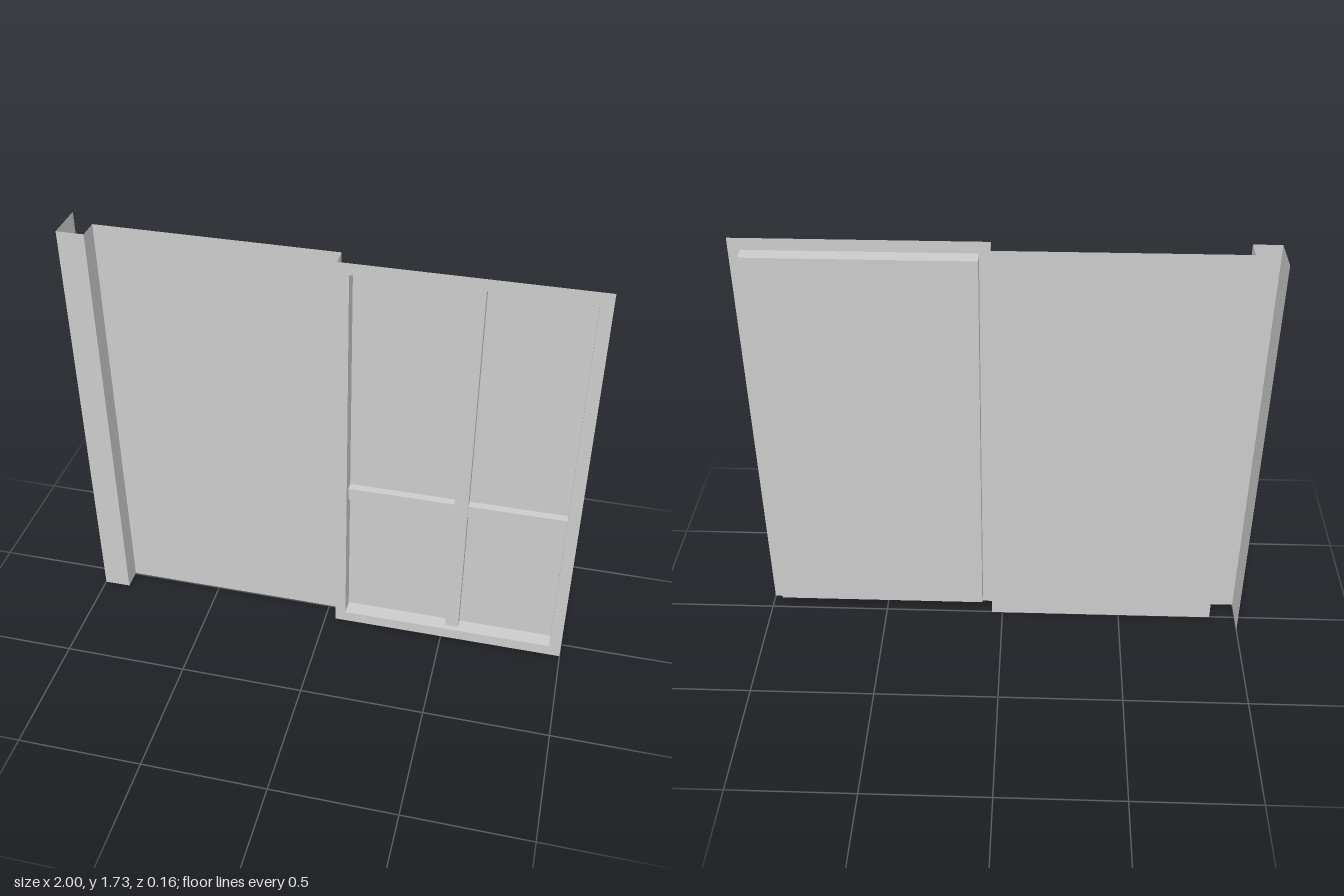
import * as THREE from 'three';

const H = 1.727;                        // wall height
const FRONT = 0.068, BACK = -0.003;     // window frame plane, wall plane
const PANE = 0.005;                     // recessed window pane plane
const X0 = 0.087, X1 = 0.953, Y0 = 0.048, Y1 = 1.68; // window opening

const material = new THREE.MeshStandardMaterial({
  color: 0xcccccc, flatShading: true, side: THREE.DoubleSide,
});

function add(group, name, geometry, x = 0, y = 0, z = 0) {
  const mesh = new THREE.Mesh(geometry, material);
  mesh.name = name;
  mesh.position.set(x, y, z);
  group.add(mesh);
  return mesh;
}

// Sheet swept from a path of [a, b] points; place(a, b, t) maps to space, t = 0 or 1
function foldedSheet(path, place) {
  const positions = [];
  for (let i = 0; i < path.length - 1; i++) {
    const [p, q] = [path[i], path[i + 1]];
    const a = place(...p, 0), b = place(...q, 0), c = place(...q, 1), d = place(...p, 1);
    positions.push(...a, ...b, ...c, ...a, ...c, ...d);
  }
  const geometry = new THREE.BufferGeometry();
  geometry.setAttribute('position', new THREE.Float32BufferAttribute(positions, 3));
  geometry.computeVertexNormals();
  return geometry;
}

// Solid bar given by its front-view rectangle, standing on the pane
function addBar(group, name, x0, x1, y0, y1, front) {
  const back = PANE + 0.0005;
  add(group, name, new THREE.BoxGeometry(x1 - x0, y1 - y0, front - back),
    (x0 + x1) / 2, (y0 + y1) / 2, (front + back) / 2);
}

export function createModel() {
  const model = new THREE.Group();
  model.name = 'wallWithWindow';

  // Folded wall: post side, post front, return, flat panel, step out to the frame
  const plan = [[-1, -0.08], [-1, 0.08], [-0.892, 0.08], [-0.892, BACK], [0.044, BACK], [0.044, FRONT]];
  add(model, 'foldedWall', foldedSheet(plan, (x, z, t) => [x, t * H, z]));

  // Flat frame face with the window opening cut out
  const frame = new THREE.Shape();
  frame.moveTo(0.044, 0).lineTo(1, 0).lineTo(1, H).lineTo(0.044, H).closePath();
  const opening = new THREE.Path();
  opening.moveTo(X0, Y0).lineTo(X0, Y1).lineTo(X1, Y1).lineTo(X1, Y0).closePath();
  frame.holes.push(opening);
  const win = new THREE.Group();
  win.name = 'window';
  model.add(win);
  add(win, 'windowFrame', new THREE.ShapeGeometry(frame), 0, 0, FRONT);

  // Reveal around the opening and the pane closing it
  const rim = [[X0, Y0], [X1, Y0], [X1, Y1], [X0, Y1], [X0, Y0]];
  add(win, 'windowReveal', foldedSheet(rim, (x, y, t) => [x, y, t ? PANE : FRONT]));
  add(win, 'windowPane', new THREE.PlaneGeometry(X1 - X0, Y1 - Y0), (X0 + X1) / 2, (Y0 + Y1) / 2, PANE);

  // Glazing bars: one upright, and a lower crossbar on each side of it
  addBar(win, 'uprightBar', 0.514, 0.568, Y0, Y1, 0.045);
  addBar(win, 'rightCrossbar', X0, 0.514, 0.647, 0.7, 0.038);
  addBar(win, 'leftCrossbar', 0.568, X1, 0.647, 0.7, 0.038);

  return model;
}
